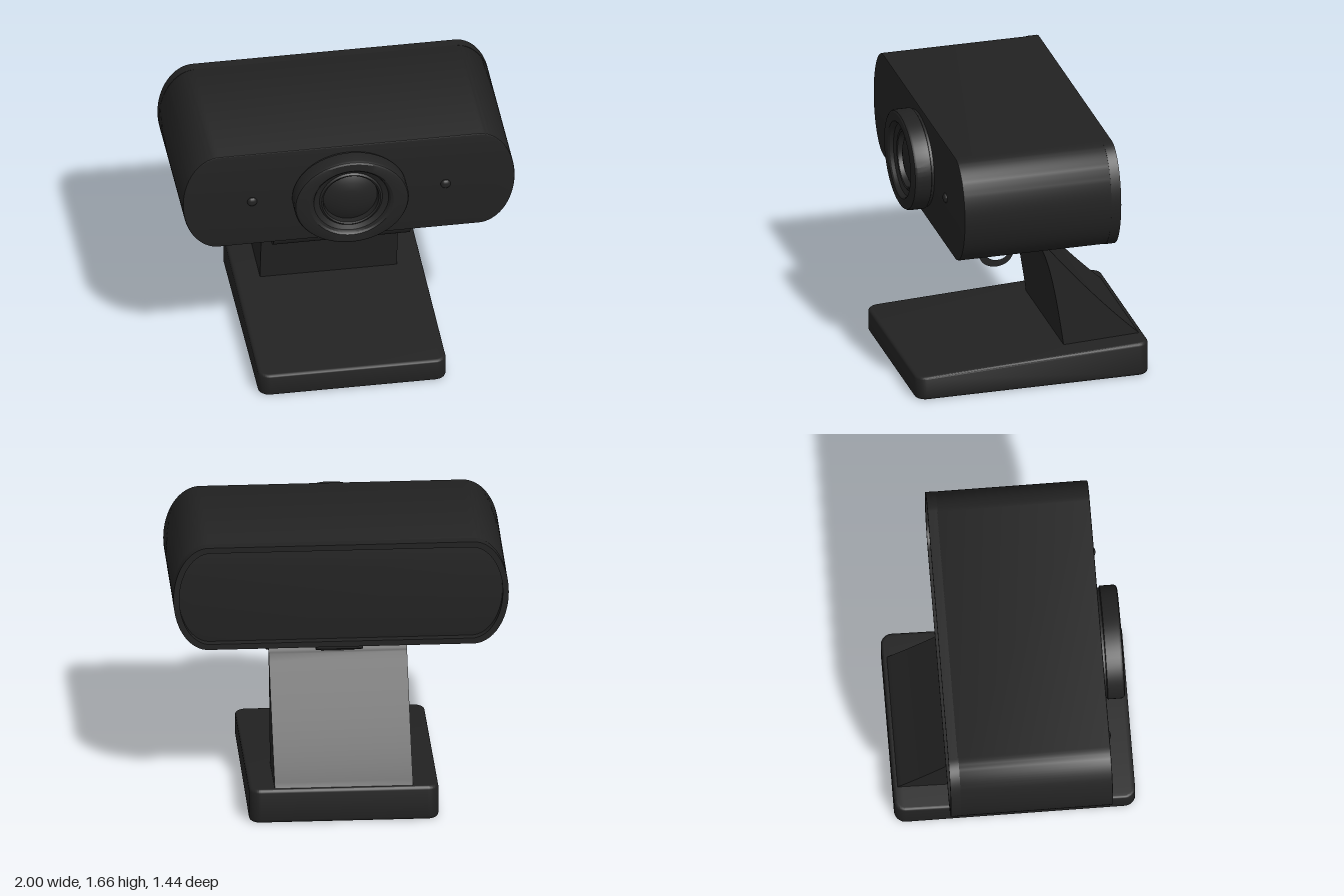
import * as THREE from 'three';
import { toCreasedNormals } from 'three/addons/utils/BufferGeometryUtils.js';

const black = new THREE.MeshStandardMaterial({ color: 0x222222 });
black.name = 'matteBlack';

function add(parent, name, geometry, crease = 0.6) {
  const mesh = new THREE.Mesh(toCreasedNormals(geometry, crease), black);
  mesh.name = name;
  parent.add(mesh);
  return mesh;
}

// Flat-topped outline with half-ellipse ends
function capsule(w, h, r, PathType = THREE.Shape) {
  const p = new PathType();
  p.moveTo(-w + r, -h);
  p.lineTo(w - r, -h);
  p.absellipse(w - r, 0, r, h, -Math.PI / 2, Math.PI / 2, false, 0);
  p.lineTo(-w + r, h);
  p.absellipse(-w + r, 0, r, h, Math.PI / 2, Math.PI * 1.5, false, 0);
  return p;
}

function roundedRect(w, h, r) {
  const s = new THREE.Shape();
  s.absarc(w - r, h - r, r, 0, Math.PI / 2);
  s.absarc(-w + r, h - r, r, Math.PI / 2, Math.PI);
  s.absarc(-w + r, -h + r, r, Math.PI, Math.PI * 1.5);
  s.absarc(w - r, -h + r, r, Math.PI * 1.5, Math.PI * 2);
  s.closePath();
  return s;
}

// Extrude a (z, y) side profile across the width
function sideExtrude(shape, width) {
  return new THREE.ExtrudeGeometry(shape, { depth: width, bevelEnabled: false, curveSegments: 20 })
    .translate(0, 0, -width / 2)
    .rotateY(-Math.PI / 2);
}

function createHead() {
  const head = new THREE.Group();
  head.name = 'cameraHead';
  head.position.y = 1.33;

  // Solid housing with a softened front edge
  const b = 0.008;
  add(head, 'housing', new THREE.ExtrudeGeometry(capsule(1 - b, 0.328 - b, 0.21), {
    depth: 0.92 - b * 2, bevelSize: b, bevelThickness: b, bevelSegments: 2, curveSegments: 24,
  }).translate(0, 0, -0.37 + b));

  // Raised rim around the recessed back panel
  const rim = capsule(1, 0.328, 0.21);
  rim.holes.push(capsule(0.965, 0.293, 0.185, THREE.Path));
  add(head, 'backRim', new THREE.ExtrudeGeometry(rim, {
    depth: 0.06, bevelEnabled: false, curveSegments: 24,
  }).translate(0, 0, -0.418));

  // Lens barrel: oval outside, blending to a round glass inside
  const profile = [
    [0.335, 0.54], [0.335, 0.565], [0.345, 0.57], [0.345, 0.655], [0.338, 0.668], [0.325, 0.674],
    [0.25, 0.674], [0.235, 0.665], [0.225, 0.645], [0.19, 0.632], [0.178, 0.64], [0.168, 0.635],
    [0.163, 0.6], [0.15, 0.607], [0.11, 0.624], [0.06, 0.635], [0, 0.638],
  ].map(([r, z]) => new THREE.Vector2(r, z));
  const lens = new THREE.LatheGeometry(profile, 64).rotateX(Math.PI / 2);
  const p = lens.attributes.position;
  for (let i = 0; i < p.count; i++) {
    const r = Math.hypot(p.getX(i), p.getY(i));
    p.setY(i, p.getY(i) * (1 - 0.145 * THREE.MathUtils.smoothstep(r, 0.165, 0.335)));
  }
  add(head, 'lens', lens, 0.5).position.y = -0.005;

  // Small indicator studs either side of the lens
  for (const side of [-1, 1]) {
    const stud = add(head, side > 0 ? 'leftStud' : 'rightStud',
      new THREE.SphereGeometry(0.03, 20, 12).scale(1, 1, 0.6));
    stud.position.set(side * 0.583, -0.017, 0.55);
  }
  return head;
}

function createMount() {
  const mount = new THREE.Group();
  mount.name = 'mount';

  // Tapered neck under the head
  const neck = new THREE.Shape([[-0.175, 1.01], [-0.165, 0.985], [-0.135, 0.905], [0.135, 0.905], [0.165, 0.985], [0.175, 1.01]]
    .map(([x, y]) => new THREE.Vector2(x, y)));
  add(mount, 'neck', new THREE.ExtrudeGeometry(neck, { depth: 0.32, bevelEnabled: false }).translate(0, 0, -0.11));

  // Rear tab with a drooping lip
  const tab = new THREE.Shape();
  tab.moveTo(-0.08, 1.01);
  tab.lineTo(-0.265, 1.01);
  tab.lineTo(-0.265, 0.925);
  tab.quadraticCurveTo(-0.24, 0.9, -0.21, 0.925);
  tab.quadraticCurveTo(-0.16, 0.945, -0.08, 0.935);
  add(mount, 'rearTab', sideExtrude(tab, 0.28));

  // Pivot post joining neck and clip
  add(mount, 'pivotPost', new THREE.BoxGeometry(0.2, 0.09, 0.15)).position.set(0, 0.885, -0.04);
  return mount;
}

function createStand() {
  const stand = new THREE.Group();
  stand.name = 'stand';

  // Wedge support and rolled front hook in one side profile
  const clip = new THREE.Shape();
  clip.moveTo(-0.23, 0.17);
  clip.lineTo(-0.7, 0.19);
  clip.lineTo(-0.69, 0.215);
  clip.bezierCurveTo(-0.53, 0.36, -0.32, 0.59, -0.12, 0.84);
  clip.bezierCurveTo(-0.1, 0.89, -0.06, 0.908, 0.02, 0.912);
  clip.lineTo(0.19, 0.918);
  clip.bezierCurveTo(0.26, 0.915, 0.297, 0.89, 0.295, 0.83);
  clip.bezierCurveTo(0.285, 0.77, 0.23, 0.745, 0.175, 0.75);
  clip.bezierCurveTo(0.08, 0.765, 0.1, 0.83, 0.055, 0.85);
  clip.bezierCurveTo(0, 0.87, -0.06, 0.87, -0.095, 0.82);
  clip.bezierCurveTo(-0.15, 0.7, -0.19, 0.46, -0.23, 0.17);
  const hole = new THREE.Path();
  hole.absellipse(0.183, 0.835, 0.066, 0.044, 0, Math.PI * 2, true, 0);
  clip.holes.push(hole);
  add(stand, 'clipSupport', sideExtrude(clip, 0.825));

  // Base plate, thicker toward the back
  const b = 0.018;
  const base = new THREE.ExtrudeGeometry(roundedRect(0.565 - b, 0.72 - b, 0.05), {
    depth: 0.18 - b * 2, bevelSize: b, bevelThickness: b, bevelSegments: 3, curveSegments: 10,
  }).translate(0, 0, b).rotateX(-Math.PI / 2);
  const p = base.attributes.position;
  for (let i = 0; i < p.count; i++) {
    p.setY(i, p.getY(i) * (0.178 - 0.048 * p.getZ(i)) / 0.18);
  }
  add(stand, 'basePlate', base);
  return stand;
}

export function createModel() {
  const model = new THREE.Group();
  model.name = 'webcam';
  model.add(createHead(), createMount(), createStand());
  return model;
}
